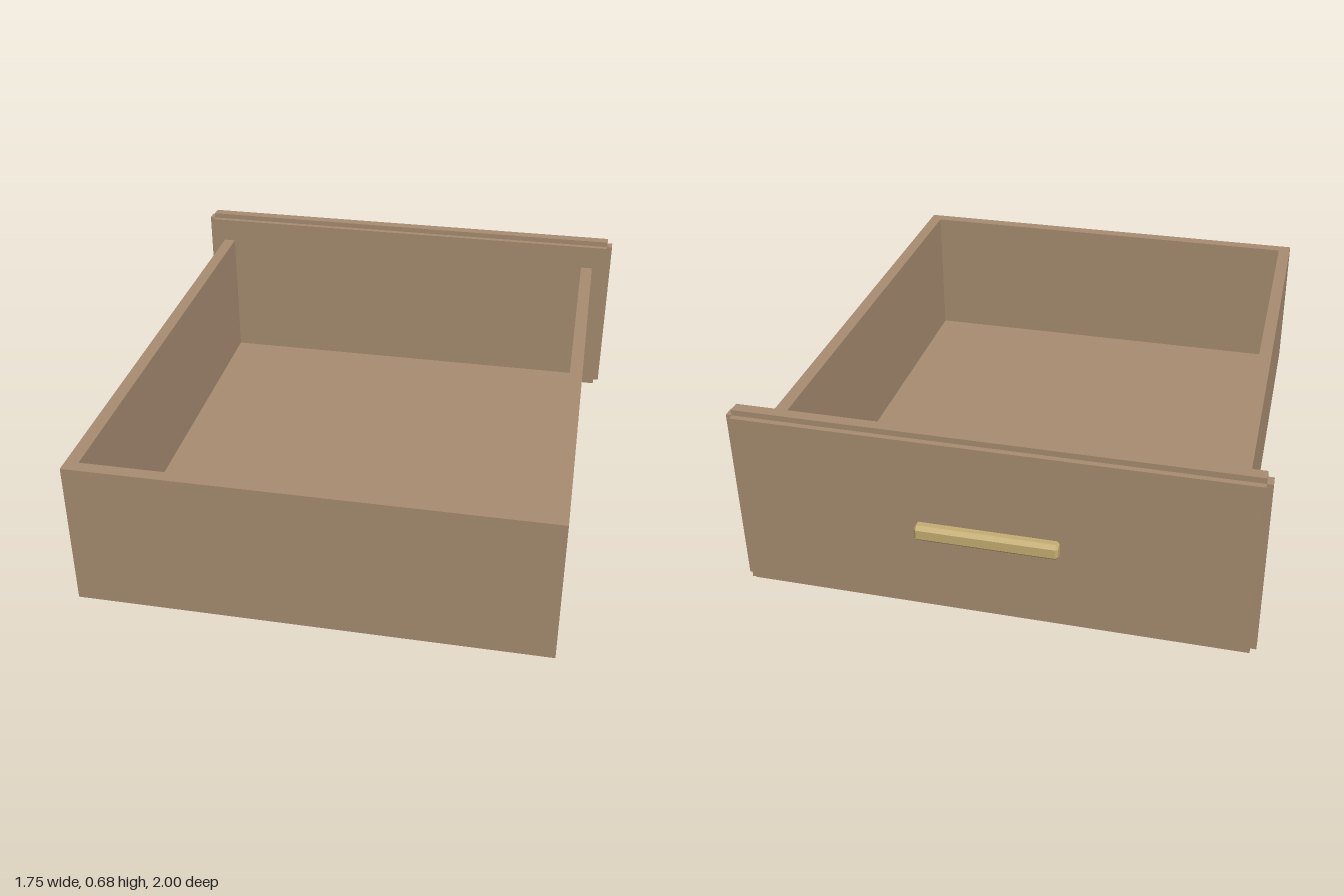
import * as THREE from 'three';

const wood = new THREE.MeshStandardMaterial({ color: 0xa68b70 });
wood.name = 'wood';
const brass = new THREE.MeshStandardMaterial({ color: 0xc4ad72 });
brass.name = 'brass';

// Box given by its minimum and maximum corners
function box(name, x0, x1, y0, y1, z0, z1) {
  const mesh = new THREE.Mesh(new THREE.BoxGeometry(x1 - x0, y1 - y0, z1 - z0), wood);
  mesh.position.set((x0 + x1) / 2, (y0 + y1) / 2, (z0 + z1) / 2);
  mesh.name = name;
  return mesh;
}

// Bar with every long and end edge chamfered, running along x
function chamferedBar(length, height, depth, c) {
  const h = height / 2 - c, d = depth / 2 - c;
  const shape = new THREE.Shape([
    [d, -h + c], [d, h - c], [d - c, h], [-d + c, h],
    [-d, h - c], [-d, -h + c], [-d + c, -h], [d - c, -h],
  ].map(([x, y]) => new THREE.Vector2(x, y)));
  const geometry = new THREE.ExtrudeGeometry(shape, {
    depth: length - 2 * c, bevelEnabled: true, bevelThickness: c, bevelSize: c, bevelSegments: 1,
  });
  geometry.center();
  geometry.rotateY(Math.PI / 2);
  return geometry;
}

export function createModel() {
  const model = new THREE.Group();
  model.name = 'drawer';

  // Open-topped tray: floor, two sides and the end wall
  const tray = new THREE.Group();
  tray.name = 'tray';
  tray.add(box('floor', -0.755, 0.755, 0.06, 0.07, -0.84, 0.955));
  tray.add(box('rightSide', -0.8, -0.755, 0.06, 0.58, -0.84, 1));
  tray.add(box('leftSide', 0.755, 0.8, 0.06, 0.58, -0.84, 1));
  tray.add(box('endWall', -0.755, 0.755, 0.06, 0.58, 0.955, 1));
  model.add(tray);

  // Face panel with stepped edges on all four sides
  const panel = new THREE.Group();
  panel.name = 'facePanel';
  panel.add(box('panelCore', -0.855, 0.855, 0.02, 0.66, -0.95, -0.87));
  for (const s of [-1, 1]) {
    const x = s * 0.865, y = 0.34 + s * 0.33;
    panel.add(box('sideStep', x - 0.01, x + 0.01, 0.02, 0.66, -0.93, -0.89));
    panel.add(box('edgeStep', -0.855, 0.855, y - 0.01, y + 0.01, -0.93, -0.89));
  }
  model.add(panel);

  // Pull handle
  const handle = new THREE.Mesh(chamferedBar(0.475, 0.058, 0.045, 0.008), brass);
  handle.position.set(0, 0.34, -0.9775);
  handle.name = 'handle';
  model.add(handle);

  return model;
}
